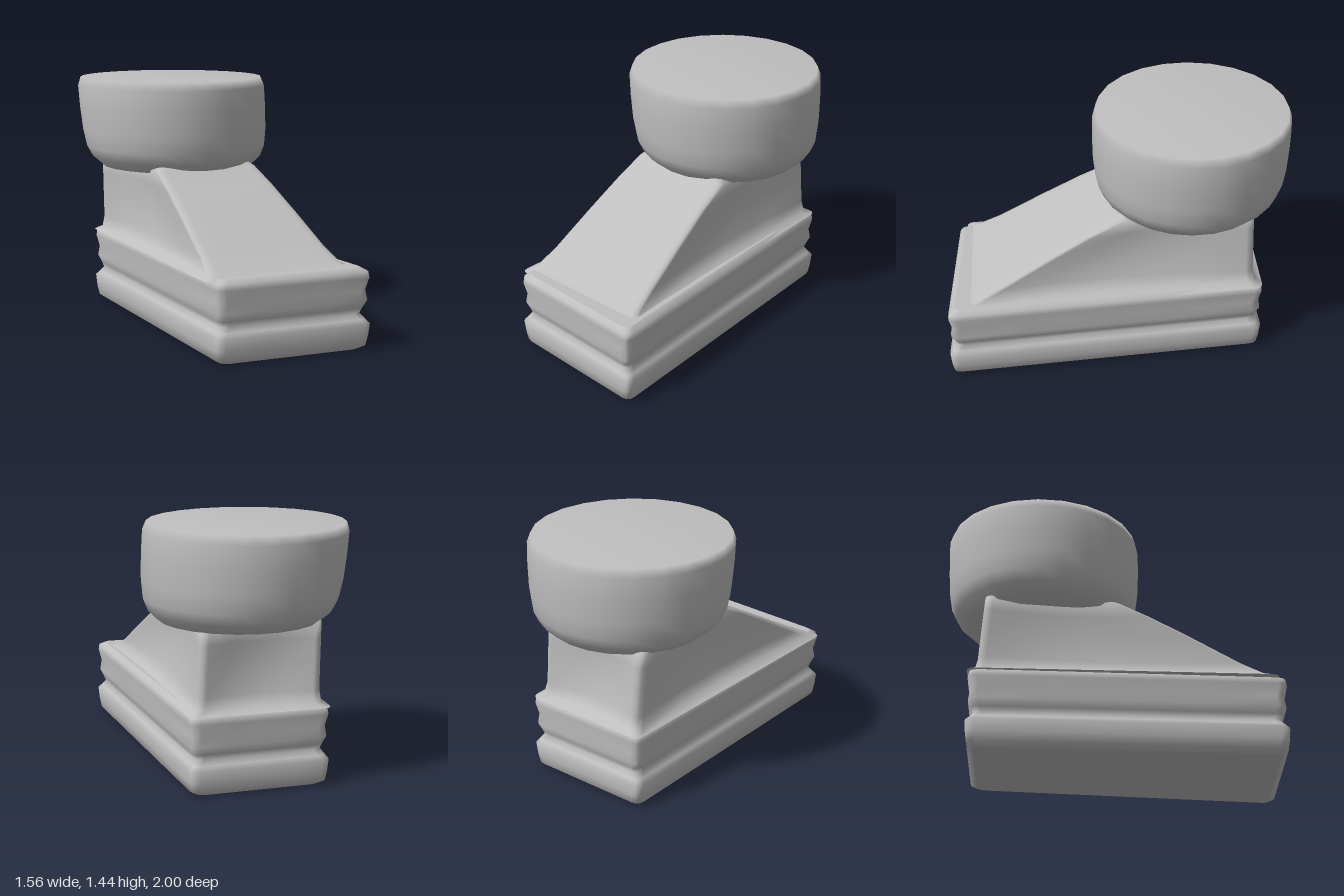
import * as THREE from 'three';

const grey = new THREE.MeshStandardMaterial({ color: 0xbfbfbf });
grey.name = 'plain grey';

const v2 = (x, z) => new THREE.Vector2(x, z);

// Rounded four-sided outline at height y; pinch pulls the side and back walls inward
function ring(corners, y, inset, cut, pinch = 0) {
  const dir = (a, b) => b.clone().sub(a).normalize();
  const c = corners.map((p, i) => p.clone()
    .addScaledVector(dir(p, corners[(i + 1) % 4]), inset)
    .addScaledVector(dir(p, corners[(i + 3) % 4]), inset));
  const pts = [];
  c.forEach((p, i) => {
    const next = c[(i + 1) % 4], toNext = dir(p, next), toPrev = dir(p, c[(i + 3) % 4]);
    const curve = new THREE.QuadraticBezierCurve(
      p.clone().addScaledVector(toPrev, cut), p, p.clone().addScaledVector(toNext, cut));
    pts.push(...curve.getPoints(3));
    const inward = v2(toNext.y, -toNext.x);
    for (const t of [0.25, 0.5, 0.75]) {
      const depth = i === 0 ? 0 : pinch * Math.sin(Math.PI * t);
      pts.push(p.clone().lerp(next, t).addScaledVector(inward, depth));
    }
  });
  return pts.map(p => new THREE.Vector3(p.x, y, p.y));
}

// Smooth wall through the rings, with separate flat caps
function loft(rings) {
  const n = rings[0].length, pos = [], index = [];
  rings.forEach(r => r.forEach(p => pos.push(p.x, p.y, p.z)));
  for (let k = 0; k < rings.length - 1; k++) {
    for (let i = 0; i < n; i++) {
      const a = k * n + i, b = k * n + (i + 1) % n;
      index.push(a, b, b + n, a, b + n, a + n);
    }
  }
  const cap = (r, up) => {
    const start = pos.length / 3;
    const mid = r.reduce((s, p) => s.add(p), new THREE.Vector3()).divideScalar(n);
    [...r, mid].forEach(p => pos.push(p.x, p.y, p.z));
    for (let i = 0; i < n; i++) {
      const a = start + i, b = start + (i + 1) % n;
      index.push(start + n, up ? a : b, up ? b : a);
    }
  };
  cap(rings[0], false);
  cap(rings[rings.length - 1], true);
  const g = new THREE.BufferGeometry();
  g.setAttribute('position', new THREE.Float32BufferAttribute(pos, 3));
  g.setIndex(index);
  g.computeVertexNormals();
  return g;
}

export function createModel() {
  const group = new THREE.Group();
  const add = (name, geometry) => {
    const mesh = new THREE.Mesh(geometry, grey);
    mesh.name = name;
    group.add(mesh);
  };

  // Tapered, turned base with two rounded bands and a groove between them
  const baseCorners = [v2(-0.11, 1.01), v2(0.79, 0.77), v2(0.06, -0.95), v2(-0.7, -0.69)];
  const baseProfile = [[0, 0.05], [0.025, 0.015], [0.08, 0.006], [0.15, 0], [0.175, 0.02], [0.205, 0.04],
    [0.235, 0.03], [0.28, 0.012], [0.34, 0.02], [0.41, 0.005], [0.445, 0.01], [0.465, 0.04]];
  add('base', loft(baseProfile.map(([y, inset]) => ring(baseCorners, y, inset, 0.05))));

  // Neck with a sloping front and hollowed side and back walls
  const low = [v2(-0.12, 0.91), v2(0.64, 0.66), v2(0.03, -0.88), v2(-0.64, -0.66)];
  const high = [v2(-0.34, 0.11), v2(0.27, -0.1), v2(0.01, -0.86), v2(-0.65, -0.62)];
  const neckProfile = [[0.45, -0.05, 0, 0], [0.475, -0.01, 0.03, 0.02], [0.54, 0, 0.17, 0.04],
    [0.7, 0, 0.5, 0.05], [0.83, 0, 0.78, 0.04], [0.92, 0, 1, 0.02], [1.0, 0.1, 1, 0]];
  add('neck', loft(neckProfile.map(([y, inset, t, pinch]) =>
    ring(low.map((p, i) => p.clone().lerp(high[i], t)), y, inset, 0.05, pinch))));

  // Round head, leaning slightly as it rises
  const headProfile = [[0, 0.89], [0.38, 0.885], [0.46, 0.9], [0.52, 0.955], [0.55, 1.02],
    [0.565, 1.12], [0.572, 1.26], [0.573, 1.39], [0.555, 1.44], [0, 1.44]];
  const head = new THREE.LatheGeometry(headProfile.map(([r, y]) => v2(r, y)), 24);
  const p = head.attributes.position;
  for (let i = 0; i < p.count; i++) p.setX(i, p.getX(i) + (1.4 - p.getY(i)) * 0.07);
  head.translate(-0.215, 0, -0.425);
  add('head', head);

  return group;
}
